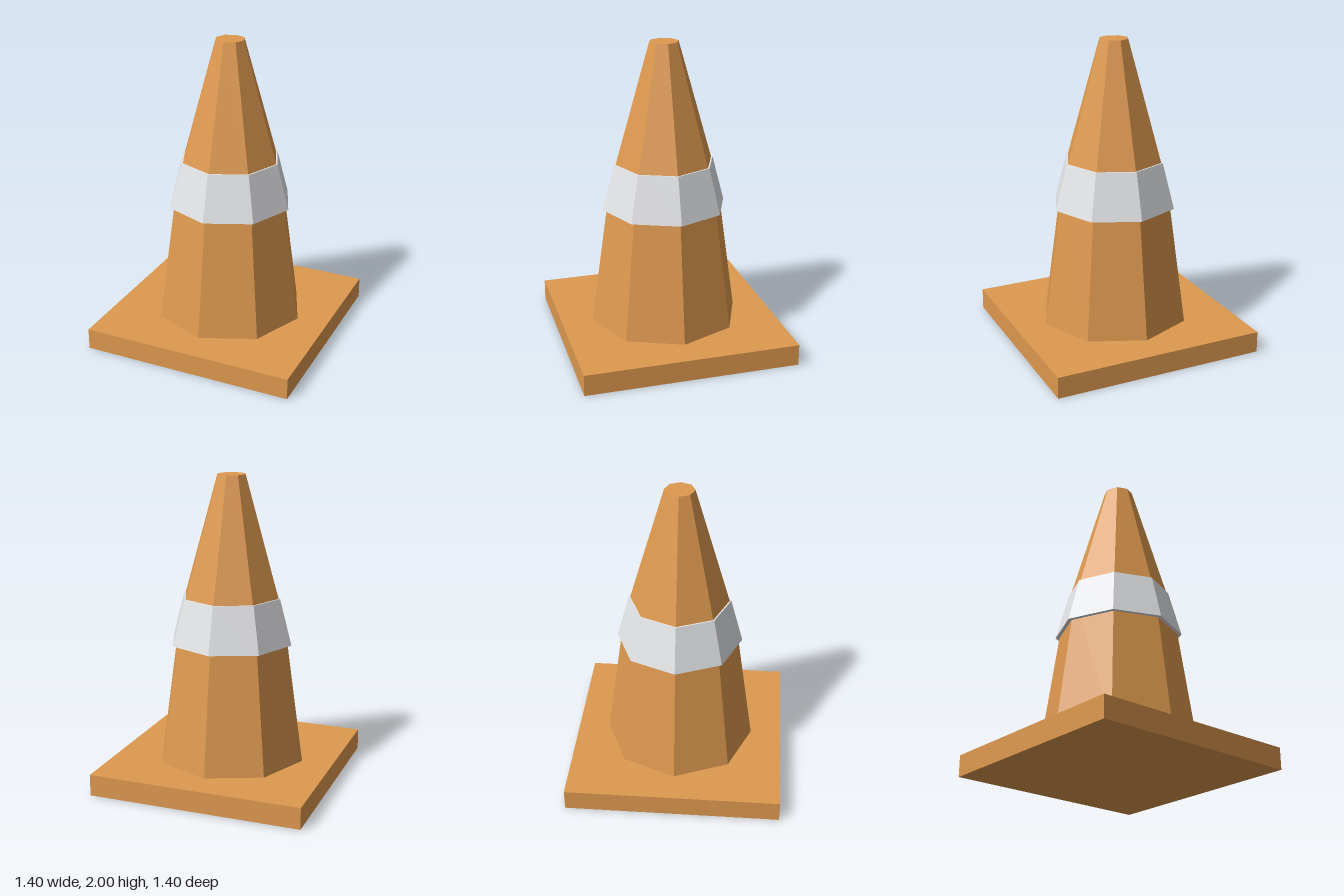
import * as THREE from 'three';

export function createModel() {
  const orange = new THREE.MeshStandardMaterial({ color: 0xde994f, flatShading: true });
  orange.name = 'orange plastic';
  const white = new THREE.MeshStandardMaterial({ color: 0xe9eaec, flatShading: true });
  white.name = 'reflective white';

  const model = new THREE.Group();
  model.name = 'trafficCone';
  const add = (name, geometry, material, y = 0) => {
    const mesh = new THREE.Mesh(geometry, material);
    mesh.name = name;
    mesh.position.y = y;
    model.add(mesh);
  };
  // Eight-sided turned solid from [radius, height] pairs, listed bottom to top
  const turned = (points) =>
    new THREE.LatheGeometry(points.map(([r, y]) => new THREE.Vector2(r, y)), 8);

  // Square foot plate
  add('base', new THREE.BoxGeometry(1.4, 0.14, 1.4), orange, 0.07);

  // Body: a steep lower half and a sharper taper above, closed at the tip
  add('coneBody', turned([[0.495, 0.14], [0.363, 1.07], [0.095, 2], [0, 2]]), orange);

  // Band: a closed collar standing slightly proud of the body
  add('reflectiveBand', turned([[0.36, 0.92], [0.41, 0.92], [0.33, 1.22], [0.3, 1.22]]), white);

  return model;
}
